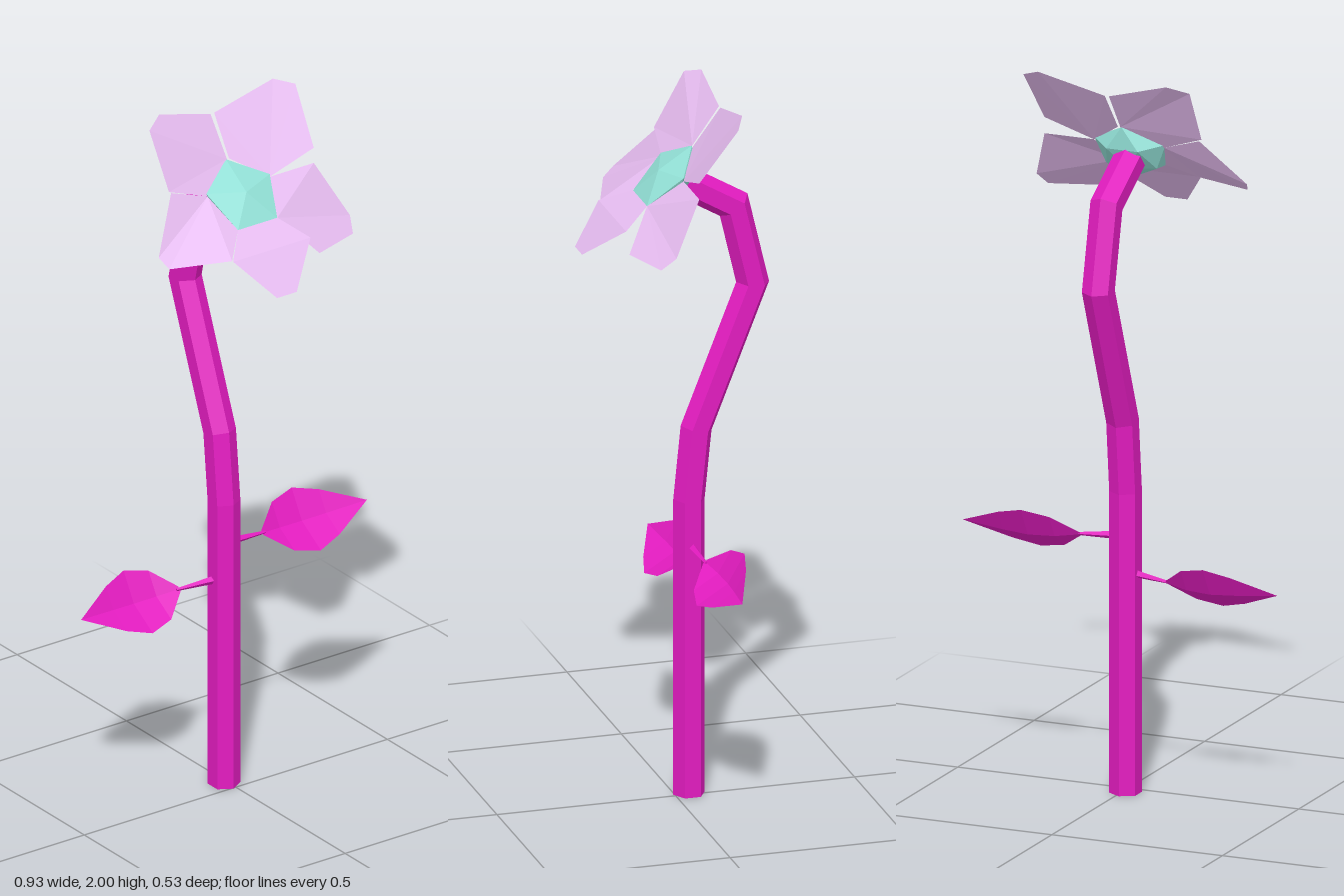
import * as THREE from 'three';

const material = (color) => new THREE.MeshStandardMaterial({ color, flatShading: true, side: THREE.DoubleSide });
const stemColor = material(0xe31cc0);
const petalColor = material(0xe6bcf0);
const centreColor = material(0x92e0d6);

// Flat-shaded mesh from a list of triangles, dropping the empty ones
function facetMesh(name, triangles, mat) {
  const solid = triangles.filter((t) => new THREE.Triangle(...t).getArea() > 1e-8);
  const geometry = new THREE.BufferGeometry().setFromPoints(solid.flat());
  geometry.computeVertexNormals();
  const mesh = new THREE.Mesh(geometry, mat);
  mesh.name = name;
  return mesh;
}

// Skin between successive rows of points
function loft(name, rows, closed, mat) {
  const triangles = [];
  const n = rows[0].length;
  for (let i = 0; i < rows.length - 1; i++) {
    for (let j = 0; j < (closed ? n : n - 1); j++) {
      const k = (j + 1) % n;
      const [a, b, c, d] = [rows[i][j], rows[i][k], rows[i + 1][k], rows[i + 1][j]];
      triangles.push([a, b, d], [b, c, d]);
    }
  }
  return facetMesh(name, triangles, mat);
}

// Six-sided stem with mitred bends, path given as [y, z]
function makeStem() {
  const path = [[0, -0.04], [0.84, -0.04], [1.04, -0.06], [1.44, -0.218], [1.665, -0.165], [1.768, 0.01]]
    .map(([y, z]) => new THREE.Vector3(-0.01, y, z));
  const radius = 0.044;
  const rows = path.map((p, i) => {
    const before = p.clone().sub(path[Math.max(i - 1, 0)]).normalize();
    const after = path[Math.min(i + 1, path.length - 1)].clone().sub(p).normalize();
    const t = before.clone().add(after).normalize();
    const stretch = 1 / Math.max(t.dot(before), t.dot(after));
    return Array.from({ length: 6 }, (_, j) => {
      const a = (j * Math.PI) / 3;
      const out = radius * stretch * Math.cos(a);
      return new THREE.Vector3(p.x + radius * Math.sin(a), p.y - t.z * out, p.z + t.y * out);
    });
  });
  rows.unshift(Array(6).fill(path[0]));
  rows.push(Array(6).fill(path[path.length - 1]));
  return loft('stem', rows, true, stemColor);
}

// Leaf folded along its midrib, plus a thin stalk; side is +1 or -1
function makeLeaf(name, side, y, z, start) {
  const group = new THREE.Group();
  group.name = name;
  const outline = [[0, 0.005], [0.2, 0.052], [0.42, 0.067], [0.64, 0.048], [1, 0]];
  const rows = outline.map(([s, w]) => {
    const x = side * (start + s * (0.465 - start));
    return [
      new THREE.Vector3(x, y + w, z - w),
      new THREE.Vector3(x, y - 0.2 * w, z - 0.3 * w),
      new THREE.Vector3(x, y - w, z + w),
    ];
  });
  const blade = loft('leafBlade', rows, false, stemColor);

  const from = new THREE.Vector3(side * 0.02 - 0.01, y + 0.008, -0.04);
  const to = new THREE.Vector3(side * (start + 0.01), y, z);
  const along = to.clone().sub(from);
  const stalk = new THREE.Mesh(new THREE.CylinderGeometry(0.004, 0.012, along.length(), 4), stemColor);
  stalk.name = 'leafStalk';
  stalk.position.copy(from).add(to).multiplyScalar(0.5);
  stalk.quaternion.setFromUnitVectors(new THREE.Vector3(0, 1, 0), along.normalize());
  group.add(blade, stalk);
  return group;
}

// Faceted flower centre: shallow front, deeper back
function makeCentre() {
  const ring = (radius, depth, shift) => Array.from({ length: 5 }, (_, j) => {
    const a = Math.PI / 2 + ((j + shift) * Math.PI * 2) / 5;
    return new THREE.Vector3(radius * Math.cos(a), radius * Math.sin(a), depth);
  });
  const rows = [ring(0, -0.065, 0), ring(0.078, -0.045, -0.5), ring(0.11, 0, 0), ring(0, 0.02, 0)];
  const centre = loft('flowerCentre', rows, true, centreColor);
  centre.position.set(0, 1.775, 0.035);
  centre.rotation.x = -0.82;
  return centre;
}

// Petal outlines, each running around its edge from the flower centre
const petals = {
  upperLeftPetal: [[0.105, 1.79, 0.01], [0.25, 1.835, 0.01], [0.265, 1.98, -0.095],
    [0.21, 2, -0.122], [0.015, 1.955, -0.12], [0.01, 1.85, -0.045]],
  upperRightPetal: [[0.003, 1.85, -0.045], [0.003, 1.955, -0.12], [-0.165, 2, -0.122],
    [-0.22, 1.98, -0.09], [-0.217, 1.83, -0.005], [-0.1, 1.79, 0.01]],
  sideRightPetal: [[-0.1, 1.79, 0.01], [-0.21, 1.825, -0.005], [-0.312, 1.695, 0.08],
    [-0.3, 1.67, 0.112], [-0.135, 1.67, 0.17], [-0.065, 1.715, 0.1]],
  sideLeftPetal: [[0.065, 1.715, 0.1], [0.15, 1.615, 0.175], [0.293, 1.615, 0.13],
    [0.31, 1.65, 0.092], [0.25, 1.79, 0.01], [0.105, 1.79, 0.01]],
  lowerPetal: [[-0.135, 1.67, 0.175], [-0.055, 1.575, 0.265], [0.01, 1.575, 0.265],
    [0.12, 1.67, 0.175], [0.065, 1.715, 0.1], [-0.065, 1.715, 0.1]],
};

export function createModel() {
  const model = new THREE.Group();
  model.name = 'flower';
  model.add(
    makeStem(),
    makeLeaf('leftLeaf', 1, 0.705, -0.045, 0.12),
    makeLeaf('rightLeaf', -1, 0.605, -0.063, 0.14),
    makeCentre(),
  );
  for (const [name, outline] of Object.entries(petals)) {
    const p = outline.map((v) => new THREE.Vector3(...v));
    const fan = [1, 2, 3, 4].map((i) => [p[0], p[i], p[i + 1]]);
    model.add(facetMesh(name, fan, petalColor));
  }
  return model;
}
